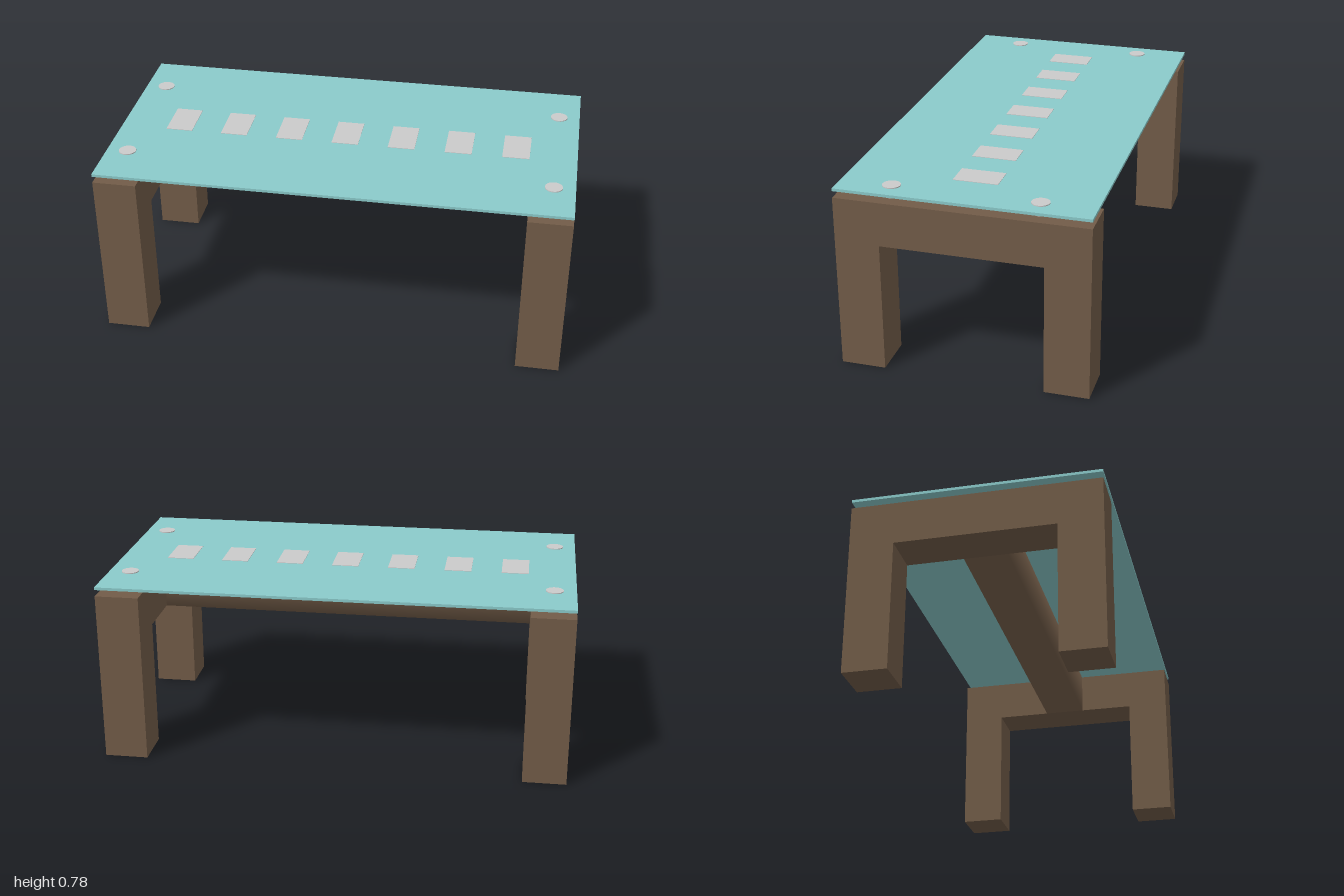
import * as THREE from 'three';

export function createModel() {
  const wood = new THREE.MeshStandardMaterial({ color: 0x725c48 });
  wood.name = 'brown wood';
  const glass = new THREE.MeshStandardMaterial({ color: 0x8acaca });
  glass.name = 'teal glass';
  const metal = new THREE.MeshStandardMaterial({ color: 0xcacaca });
  metal.name = 'light grey metal';

  const table = new THREE.Group();
  table.name = 'coffeeTable';
  const add = (name, geometry, material, x, y, z) => {
    const mesh = new THREE.Mesh(geometry, material);
    mesh.name = name;
    mesh.position.set(x, y, z);
    table.add(mesh);
    return mesh;
  };

  const halfDepth = 0.52, bar = 0.186, frameTop = 0.74, underside = frameTop - bar;

  // Square-section arch at each end: two legs and a crossbar in one piece
  const arch = new THREE.Shape([
    [-halfDepth, 0], [bar - halfDepth, 0], [bar - halfDepth, underside],
    [halfDepth - bar, underside], [halfDepth - bar, 0], [halfDepth, 0],
    [halfDepth, frameTop], [-halfDepth, frameTop],
  ].map(([z, y]) => new THREE.Vector2(z, y)));
  const archGeometry = new THREE.ExtrudeGeometry(arch, { depth: bar, bevelEnabled: false })
    .translate(0, 0, -bar / 2).rotateY(Math.PI / 2);
  for (const side of [-1, 1]) {
    add(side > 0 ? 'leftLegFrame' : 'rightLegFrame', archGeometry, wood, side * (1 - bar / 2), 0, 0);
  }

  // Central beam: a four-sided tube with softly shaded edges, ends hidden in the frames
  const beam = new THREE.CylinderGeometry(
    bar * Math.SQRT1_2, bar * Math.SQRT1_2, 2 - 2 * bar, 4, 1, true, Math.PI / 4)
    .rotateZ(Math.PI / 2);
  add('centreBeam', beam, wood, 0, frameTop - bar / 2, 0);

  // Glass top floating above the frames
  add('glassTop', new THREE.BoxGeometry(2, 0.012, halfDepth * 2), glass, 0, 0.774, 0);

  // Metal standoffs passing through the glass
  const standoff = new THREE.CylinderGeometry(0.037, 0.037, 0.045, 32);
  for (const x of [-0.909, 0.909]) {
    for (const z of [-0.296, 0.306]) add('standoff', standoff, metal, x, 0.7615, z);
  }

  // Row of seven inlaid panels along the middle
  const panel = new THREE.BoxGeometry(0.116, 0.003, bar);
  for (let i = -3; i <= 3; i++) add('inlayPanel', panel, metal, i * 0.2465, 0.7805, 0);

  return table;
}
